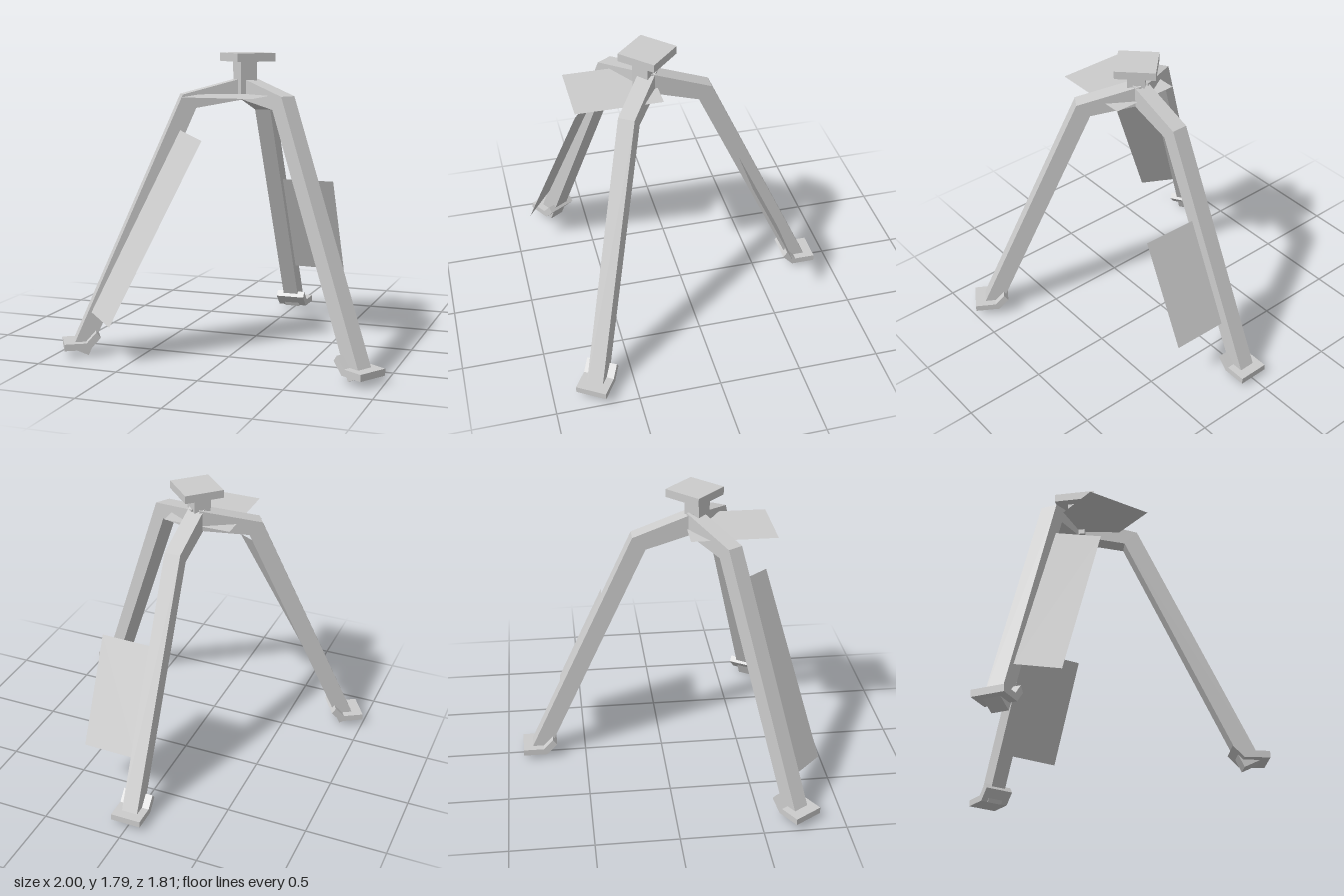
import * as THREE from 'three';

const grey = new THREE.MeshStandardMaterial({ color: 0xcccccc, flatShading: true });
const thin = new THREE.MeshStandardMaterial({ color: 0xcccccc, flatShading: true, side: THREE.DoubleSide });

function add(parent, geometry, name, material = grey) {
  const mesh = new THREE.Mesh(geometry, material);
  mesh.name = name;
  parent.add(mesh);
  return mesh;
}

// Extrude a (radius, height) profile, centred across its width
function strip(points, width) {
  const shape = new THREE.Shape(points.map(([r, y]) => new THREE.Vector2(r, y)));
  return new THREE.ExtrudeGeometry(shape, { depth: width, bevelEnabled: false }).translate(0, 0, -width / 2);
}

// Thin four-cornered sheet: top left, top right, bottom left, bottom right
function sheet(parent, name, corners) {
  const geometry = new THREE.PlaneGeometry(1, 1);
  corners.forEach((c, i) => geometry.attributes.position.setXYZ(i, ...c));
  geometry.computeVertexNormals();
  add(parent, geometry, name, thin);
}

// Bent leg, square cut at its foot, and a foot pad with a raised inner flap
function makeLeg(name, degrees, x, dr, dy, padDr, padDy) {
  const leg = new THREE.Group();
  leg.name = name;
  const bent = [[0, 1.52], [0.29 + dr, 1.43 + dy], [0.933 + padDr, 0.025 - padDy * 1.8],
    [1.03 + padDr, 0.07 - padDy * 1.8], [0.37 + dr, 1.51 + dy], [0, 1.65]];
  add(leg, strip(bent, 0.1), 'legBeam');
  const pad = [[1.09, 0.03], [1.09, 0.07], [0.96, 0.07], [0.9, 0.135], [0.875, 0.1], [0.94, 0.03]];
  add(leg, strip(pad.map(([r, y]) => [r + padDr * 0.7, y + padDy]), 0.19), 'footPad');
  leg.position.set(x, 0, 0.19);
  leg.rotation.y = THREE.MathUtils.degToRad(degrees);
  return leg;
}

export function createModel() {
  const model = new THREE.Group();
  model.name = 'tripodStand';

  // Legs
  model.add(makeLeg('backLeg', 90, 0.008, 0, 0, 0, 0));
  model.add(makeLeg('frontLeftLeg', -32, 0, 0.02, 0.04, 0.04, 0.014));
  model.add(makeLeg('frontRightLeg', -148.5, 0, 0.02, 0.04, 0.04, 0.014));

  // Centre post and head plate, turned corner to the front
  const post = add(model, new THREE.BoxGeometry(0.107, 0.23, 0.107), 'centrePost');
  post.position.set(0.005, 1.635, 0.215);
  post.rotation.y = Math.PI / 4;
  const head = add(model, new THREE.BoxGeometry(0.247, 0.05, 0.247), 'headPlate');
  head.position.set(0.015, 1.767, 0.2);
  head.rotation.y = Math.PI / 4;

  // Thin sheets: level under the head, beside the right leg, beside the back leg
  sheet(model, 'levelSheet', [[-0.22, 1.55, 0.15], [0.21, 1.55, 0.15], [-0.22, 1.55, 0.67], [0.21, 1.55, 0.67]]);
  sheet(model, 'rightLegSheet', [[-0.32, 1.34, 0.45], [-0.115, 1.3, 0.625], [-0.78, 0.265, 0.74], [-0.585, 0.228, 0.905]]);
  sheet(model, 'backLegSheet', [[0.05, 0.96, -0.36], [0.4, 0.96, -0.35], [0.05, 0.33, -0.65], [0.4, 0.327, -0.64]]);

  return model;
}
